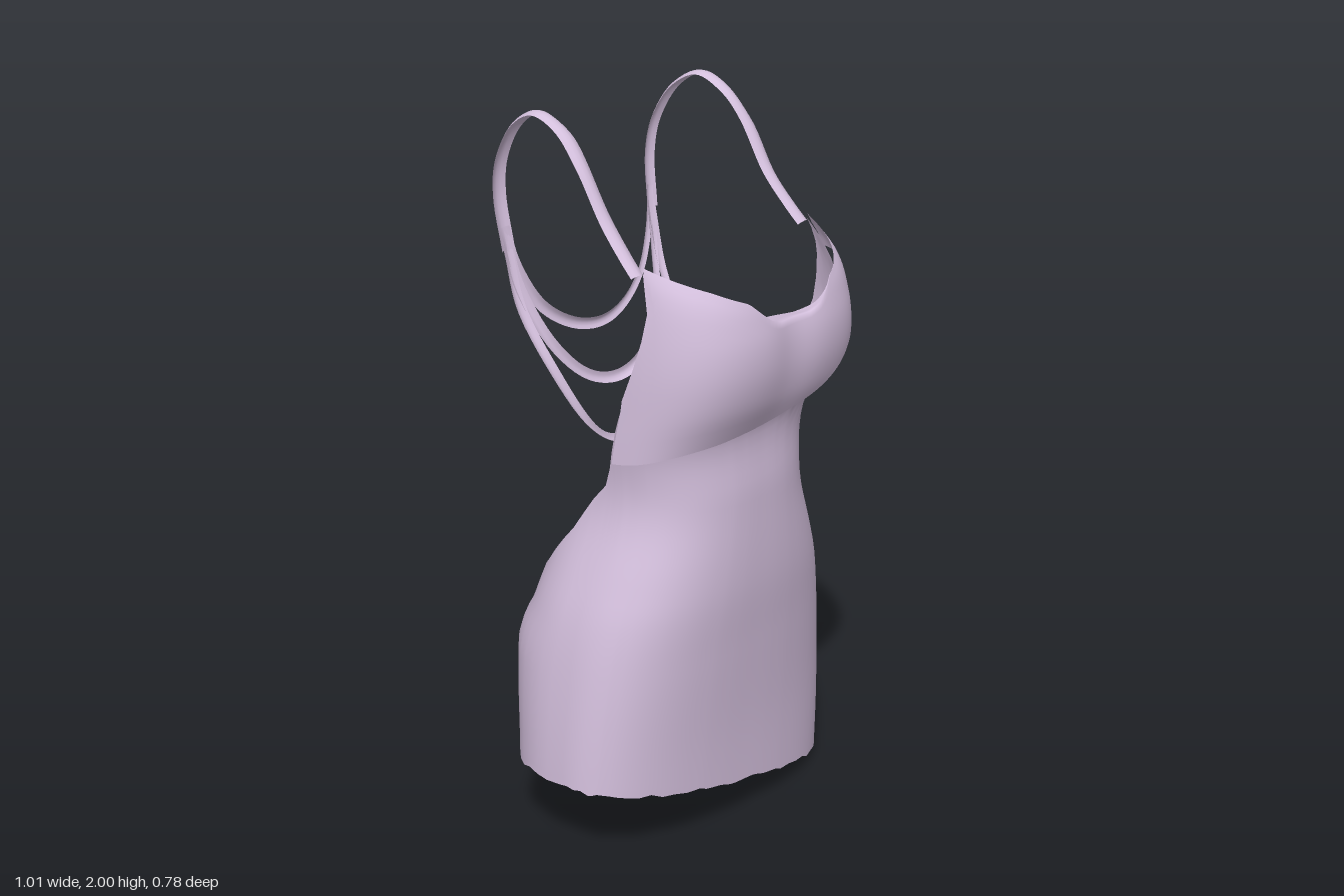
import * as THREE from 'three';
import { mergeVertices } from 'three/addons/utils/BufferGeometryUtils.js';

const fabric = new THREE.MeshStandardMaterial({ color: 0xd3bfdc, side: THREE.DoubleSide });
fabric.name = 'lilacFabric';

// Lookup from [position, value] pairs: smooth or straight between them
function curve(pairs, smooth = true) {
  const Kind = smooth ? THREE.CubicInterpolant : THREE.LinearInterpolant;
  const f = new Kind(pairs.map(p => p[0]), pairs.map(p => p[1]), 1);
  const lo = pairs[0], hi = pairs[pairs.length - 1];
  return t => (t <= lo[0] ? lo[1] : t >= hi[0] ? hi[1] : f.evaluate(t)[0]);
}

// Surface from a grid of points: at(i, j) for i = 0..nu, j = 0..nv
function sheet(name, nu, nv, at) {
  const pos = [], index = [];
  for (let i = 0; i <= nu; i++) for (let j = 0; j <= nv; j++) pos.push(...at(i, j));
  for (let i = 0; i < nu; i++) for (let j = 0; j < nv; j++) {
    const a = i * (nv + 1) + j, b = a + nv + 1;
    index.push(a, b, b + 1, a, b + 1, a + 1);
  }
  let g = new THREE.BufferGeometry();
  g.setAttribute('position', new THREE.Float32BufferAttribute(pos, 3));
  g.setIndex(index);
  g = mergeVertices(g, 1e-4);
  g.computeVertexNormals();
  const mesh = new THREE.Mesh(g, fabric);
  mesh.name = name;
  return mesh;
}

// Half width, depths and roundness at each height, for the body and the drape
const bodyShape = {
  width: curve([[0, .505], [0.25, .5], [0.56, .46], [0.7, .425], [0.8, .385], [0.95, .325],
    [1.03, .313], [1.2, .335], [1.4, .376], [1.5, .368], [1.66, .352]]),
  front: curve([[0, .21], [0.3, .225], [0.56, .25], [0.75, .27], [1.0, .275], [1.2, .278],
    [1.3, .335], [1.4, .368], [1.5, .365], [1.6, .325], [1.66, .255]]),
  back: curve([[0, .335], [0.3, .358], [0.45, .378], [0.54, .388], [0.6, .368], [0.65, .335], [0.78, .29],
    [0.9, .26], [1.04, .25]], false),
  power: y => 0.8 - 0.15 * THREE.MathUtils.smoothstep(y, 1.1, 1.35),
};
const drapeShape = {
  width: curve([[1.15, .405], [1.2, .402], [1.3, .394], [1.4, .387], [1.5, .375], [1.6, .36], [1.66, .352]]),
  front: curve([[1.15, .3], [1.2, .32], [1.3, .368], [1.4, .39], [1.5, .383], [1.6, .34], [1.66, .258]]),
  power: () => 0.62,
};

// Upper edge by angle from the front: neckline, strap point, armhole, low back
const edge = [[0, 1.495], [3, 1.497], [7, 1.512], [16, 1.565], [33, 1.602], [50, 1.63], [67, 1.66],
  [71, 1.55], [79, 1.35], [84, 1.2], [90, 1.04], [108, .9], [129, .78], [151, .7], [168, .655], [180, .645]];
const topEdge = curve(edge, false);

const pow = (v, e) => Math.sign(v) * Math.abs(v) ** e;
function ringPoint(shape, deg, y) {
  const a = THREE.MathUtils.degToRad(deg), c = Math.cos(a), e = shape.power(y);
  const depth = c > 0 ? shape.front(y) : shape.back(y);
  return [pow(Math.sin(a), e) * shape.width(y), y, pow(c, e) * depth];
}

// Angles around the dress, closer together where the upper edge is steep
const half = [];
for (let k = 0; k < edge.length - 1; k++)
  for (let s = 0; s < 3; s++) half.push(THREE.MathUtils.lerp(edge[k][0], edge[k + 1][0], s / 3));
const angles = [-180, ...half.slice(1).reverse().map(a => -a), ...half, 180];

// Tube of the dress; its front stops at a slanted line behind the drape
function dressBody() {
  const rows = 40;
  const frontTop = curve([[-79, 1.33], [-40, 1.3], [0, 1.315], [20, 1.37], [45, 1.48], [67, 1.65]]);
  return sheet('dressBody', angles.length - 1, rows, (i, j) => {
    const deg = angles[i], x = ringPoint(bodyShape, deg, 0.1)[0];
    // slanted, slightly wavy hem
    const hem = 0.122 - 0.225 * x + 0.006 * Math.sin(deg * 0.45) * Math.cos(deg * 0.17);
    const top = Math.min(topEdge(Math.abs(deg)), frontTop(deg));
    return ringPoint(bodyShape, deg, THREE.MathUtils.lerp(hem, top, j / rows));
  });
}

// Loose fold over the bust with a slanted lower edge; the neckline centre tucks inward
function bustDrape() {
  const low = curve([[-.4, 1.15], [-.35, 1.175], [-.3, 1.19], [-.2, 1.205], [0, 1.235], [.15, 1.28],
    [.25, 1.35], [.33, 1.46], [.36, 1.58]]);
  const cols = 72, rows = 16, tuckRows = 3;
  return sheet('bustDrape', cols, rows + tuckRows, (i, j) => {
    const u = THREE.MathUtils.lerp(-1, 1, i / cols);
    // columns gather toward the centre
    const deg = pow(u, 1.4) * (u < 0 ? 80 : 68);
    const top = topEdge(Math.abs(deg)) + 0.004;
    const start = low(pow(Math.sin(deg * Math.PI / 180), 0.62) * 0.4);
    const p = ringPoint(drapeShape, deg, THREE.MathUtils.lerp(start, top, Math.min(1, j / rows)));
    const centre = Math.exp(-((p[0] / 0.08) ** 2));
    p[2] -= 0.02 * centre * Math.min(1, j / rows);
    const tuck = Math.max(0, j - rows) / tuckRows * centre;
    p[1] -= 0.025 * tuck;
    p[2] -= 0.1 * tuck;
    return p;
  });
}

// Arched ribbon along a path, lying face outward around the shoulders
function ribbon(name, points, width, arch) {
  const path = new THREE.CatmullRomCurve3(points.map(p => new THREE.Vector3(...p)));
  const n = points.length * 5;
  return sheet(name, n, 4, (i, j) => {
    const p = path.getPoint(i / n), t = path.getTangent(i / n), u = j / 2 - 1;
    const across = new THREE.Vector3(0, p.y - 1.35, p.z).cross(t).normalize();
    const outward = t.clone().cross(across);
    return p.addScaledVector(across, u * width / 2).addScaledVector(outward, -arch * u * u).toArray();
  });
}

// Mirror half a path, given from the left end to the centre
const mirrored = pts => [...pts, ...pts.slice(0, -1).reverse().map(([x, y, z]) => [-x, y, z])];

function straps() {
  const group = new THREE.Group();
  group.name = 'straps';
  for (const s of [1, -1]) {
    group.add(ribbon(s > 0 ? 'leftShoulderStrap' : 'rightShoulderStrap', [
      [.333, 1.64, .14], [.33, 1.68, .1], [.325, 1.76, .03], [.325, 1.89, -.05], [.32, 1.965, -.12],
      [.318, 2.0, -.21], [.31, 1.955, -.3], [.302, 1.85, -.368], [.295, 1.75, -.385], [.285, 1.6, -.367],
    ].map(([x, y, z]) => [x * s, y, z]), 0.045, 0.01));
  }
  const loops = {
    upperBackLoop: [[.287, 1.66, -.375], [.265, 1.56, -.36], [.2, 1.44, -.335], [.1, 1.37, -.315], [0, 1.35, -.305]],
    middleBackLoop: [[.285, 1.62, -.37], [.268, 1.5, -.345], [.21, 1.34, -.285], [.11, 1.235, -.25], [0, 1.205, -.24]],
    lowerBackLoop: [[.285, 1.6, -.367], [.28, 1.45, -.33], [.25, 1.28, -.24], [.18, 1.13, -.185], [.09, 1.06, -.185],
      [0, 1.045, -.195]],
  };
  for (const [name, pts] of Object.entries(loops)) group.add(ribbon(name, mirrored(pts), 0.032, 0.008));
  return group;
}

// Narrow strip inside the skirt joining front and back: height, depth, half width
function innerGusset() {
  const rows = [[.37, .222, .23], [.31, .195, .17], [.27, .165, .115], [.24, .11, .065], [.22, .04, .036],
    [.215, -.06, .035], [.225, -.16, .038], [.26, -.23, .07], [.3, -.285, .13], [.35, -.345, .2]];
  return sheet('innerGusset', rows.length - 1, 6, (i, j) => {
    const [y, z, w] = rows[i], u = j / 3 - 1;
    return [u * w, y, z - Math.sign(z) * 0.4 * w * w * u * u];
  });
}

export function createModel() {
  const dress = new THREE.Group();
  dress.name = 'dress';
  dress.add(dressBody(), bustDrape(), straps(), innerGusset());
  return dress;
}
